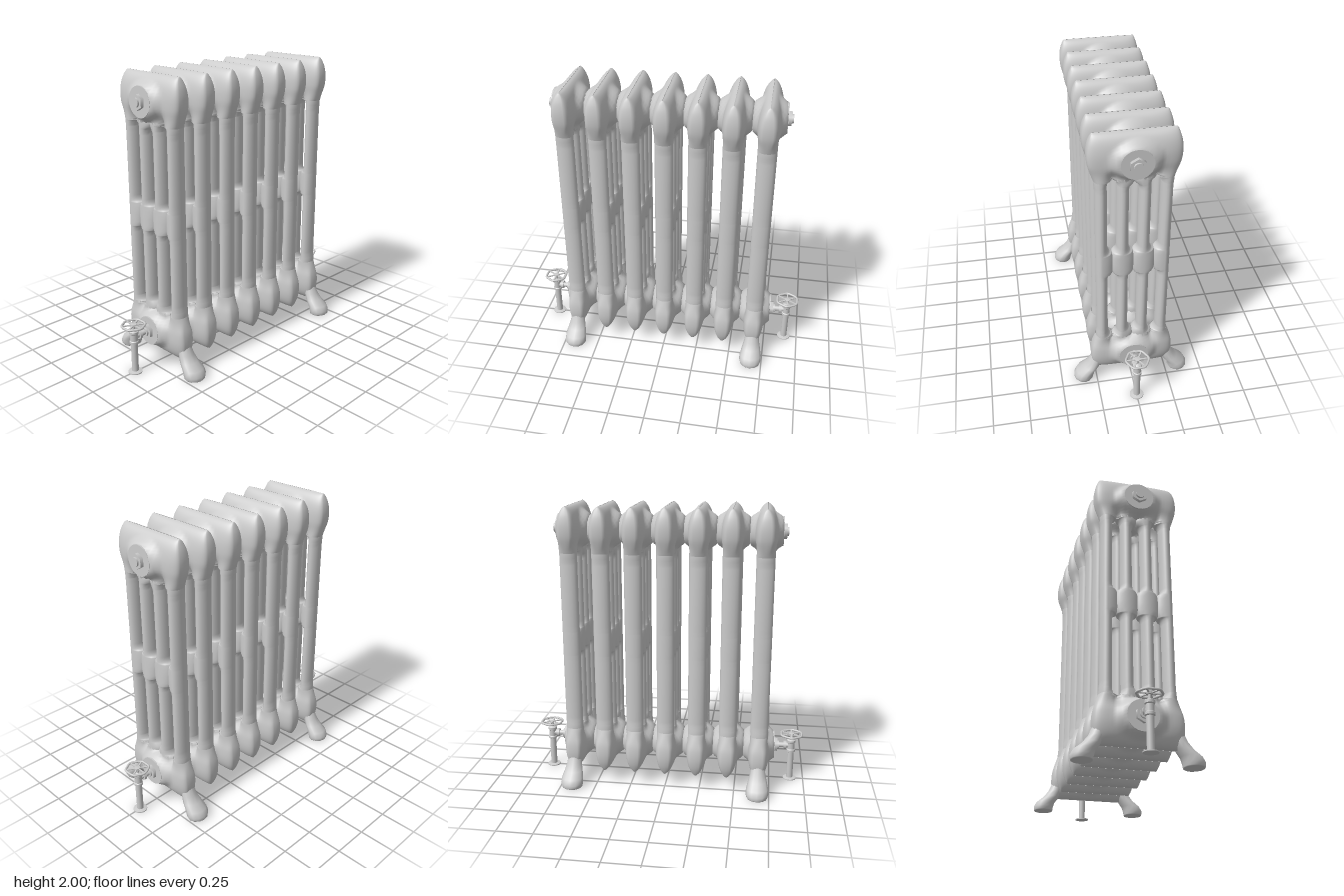
import * as THREE from 'three';

const material = new THREE.MeshStandardMaterial({ color: 0xcccccc, side: THREE.DoubleSide });
const MID = 1.0475;          // each section mirrors about this height
const HUB = 0.7825;          // hub distance from MID
const PITCH = 0.2223;
const smooth = THREE.MathUtils.smoothstep;

function add(parent, name, geometry, x = 0, y = 0, z = 0) {
  const mesh = new THREE.Mesh(geometry, material);
  mesh.name = name;
  mesh.position.set(x, y, z);
  parent.add(mesh);
  return mesh;
}

// Skin closed rings stacked upwards; point(ring, angle) gives [x, y, z]
function loft(rings, sides, point) {
  const positions = [], index = [];
  rings.forEach((ring, i) => {
    for (let j = 0; j < sides; j++) {
      positions.push(...point(ring, (j / sides) * Math.PI * 2));
      if (i === rings.length - 1) continue;
      const a = i * sides + j, b = i * sides + (j + 1) % sides;
      index.push(a, a + sides, b, b, a + sides, b + sides);
    }
  });
  const g = new THREE.BufferGeometry();
  g.setAttribute('position', new THREE.Float32BufferAttribute(positions, 3));
  g.setIndex(index);
  g.computeVertexNormals();
  return g;
}

// Header: a rounded slab with a hub swelling, scalloped into four columns at its inner edge
function headerGeometry(up) {
  const profile = new THREE.CatmullRomCurve3([
    [1.685, 0.248, 0.064], [1.74, 0.266, 0.071], [1.8, 0.281, 0.076], [1.87, 0.285, 0.075],
    [1.93, 0.277, 0.063], [1.97, 0.264, 0.044], [1.992, 0.254, 0.022], [2.0, 0.248, 0.001],
  ].map(([y, w, d]) => new THREE.Vector3(w, y, d)));
  const rings = profile.getPoints(24);
  if (!up) rings.reverse();
  return loft(rings, 56, ({ x: w, y, z: d }, a) => {
    const x = w * Math.cos(a), ax = Math.abs(x);
    const slab = d * Math.pow(Math.max(0, 1 - (ax / w) ** 4), 0.25);
    const c = ax < 0.135 ? 0.068 : 0.202;
    const reach = ax > 0.202 ? w - 0.202 : 0.068;
    const scallop = 0.062 * Math.sqrt(Math.max(0, 1 - ((ax - c) / reach) ** 2));
    const base = THREE.MathUtils.lerp(scallop, slab, smooth(y, 1.685, 1.8));
    const r = Math.hypot(x / 0.21, (y - MID - HUB) / 0.17);
    const hub = 0.111 * (1 - smooth(r, 0.5, 1));
    const z = Math.pow(base ** 6 + hub ** 6, 1 / 6);
    return [x, up ? y : 2 * MID - y, Math.sign(Math.sin(a)) * (Math.abs(Math.sin(a)) < 1e-6 ? 0 : z)];
  });
}

// Half width of the round-ended slot beside a column, negative where columns fuse
function slotHalf(dy, end) {
  const e = Math.min(dy - 0.085, end - dy);
  if (e <= 0) return -0.015 * Math.min(1, -e / 0.03);
  return 0.029 * Math.sqrt(1 - (1 - Math.min(e / 0.045, 1)) ** 2);
}

// Column: oval tube that spreads sideways at the bridge and at both headers
function columnGeometry(outer) {
  const half = [0, 0.05, 0.08, 0.085, 0.088, 0.095, 0.108, 0.13, 0.3, 0.555, 0.575, 0.59,
    0.597, 0.6, 0.615, 0.63, 0.637, 0.64, 0.655];
  const ys = [...half.slice(1).reverse().map(v => -v), ...half];
  return loft(ys, 16, (dy, a) => {
    const d = Math.abs(dy), c = Math.cos(a);
    const outward = outer ? 0.038 + 0.006 * smooth(d, 0.55, 0.64) : 0.067 - slotHalf(d, 0.64);
    const inward = 0.067 - slotHalf(d, outer ? 0.64 : 0.602);
    return [c * (c > 0 ? outward : inward), MID + dy, 0.062 * Math.sin(a)];
  });
}

// Foot: splayed, faceted stub leg swelling to a flat pad
function footGeometry() {
  const rings = [
    [0.34, 0, 0.001, 0.001], [0.34, 0, 0.064, 0.07], [0.341, 0.006, 0.068, 0.074],
    [0.34, 0.03, 0.07, 0.08], [0.325, 0.065, 0.066, 0.078], [0.285, 0.105, 0.056, 0.066],
    [0.258, 0.15, 0.048, 0.054], [0.235, 0.21, 0.044, 0.046], [0.215, 0.28, 0.03, 0.03],
  ];
  return loft(rings, 12, ([cx, y, rx, rz], a) => [cx + rx * Math.cos(a), y, rz * Math.sin(a)]);
}

function rod(radius, length, sides = 20) {
  return new THREE.CylinderGeometry(radius, radius, length, sides);
}

// Plugs on an end section, and the supply valve in front of it (facing +z)
function createEnd() {
  const end = new THREE.Group();
  const alongZ = (name, r, length, sides, y, z) =>
    (add(end, name, rod(r, length, sides), 0, y, z).rotation.x = Math.PI / 2);
  for (const y of [MID + HUB, MID - HUB]) {
    alongZ('hubDisc', 0.1, 0.02, 32, y, 0.77);
    alongZ('hexPlug', 0.052, 0.025, 6, y, 0.79);
    alongZ('plugCap', 0.03, 0.015, 20, y, 0.807);
  }
  const valve = new THREE.Group();
  valve.name = 'valve';
  valve.position.z = 0.902;
  end.add(valve);
  const pipeY = MID - HUB;
  add(valve, 'inletPipe', rod(0.018, 0.12), 0, pipeY, -0.06).rotation.x = Math.PI / 2;
  add(valve, 'inletCollar', rod(0.03, 0.02), 0, pipeY, -0.045).rotation.x = Math.PI / 2;
  const body = [[0, 0], [0.048, 0], [0.048, 0.007], [0.023, 0.012], [0.023, 0.215], [0.031, 0.22],
    [0.031, 0.235], [0.026, 0.24], [0.026, 0.285], [0.031, 0.29], [0.031, 0.308], [0.02, 0.315],
    [0.009, 0.32], [0.009, 0.345], [0.02, 0.346], [0.02, 0.36], [0, 0.362]];
  // doubled profile points keep the turned edges crisp
  add(valve, 'valveBody', new THREE.LatheGeometry(
    body.flatMap(([r, y]) => [new THREE.Vector2(r, y), new THREE.Vector2(r, y)]), 20));
  // hand wheel with a gently lobed rim
  const rimPath = new THREE.CatmullRomCurve3(Array.from({ length: 24 }, (_, i) => {
    const a = (i / 24) * Math.PI * 2, r = 0.076 + 0.003 * Math.cos(6 * a);
    return new THREE.Vector3(r * Math.cos(a), 0.353, r * Math.sin(a));
  }), true);
  add(valve, 'handWheelRim', new THREE.TubeGeometry(rimPath, 48, 0.008, 8, true));
  for (let i = 0; i < 6; i++) {
    const a = (i / 6) * Math.PI * 2;
    const spoke = add(valve, 'handWheelSpoke', new THREE.BoxGeometry(0.062, 0.007, 0.01),
      0.045 * Math.cos(a), 0.353, 0.045 * Math.sin(a));
    spoke.rotation.y = -a;
  }
  return end;
}

export function createModel() {
  const model = new THREE.Group();
  model.name = 'columnRadiator';
  const top = headerGeometry(true), bottom = headerGeometry(false);
  const outer = columnGeometry(true), inner = columnGeometry(false), foot = footGeometry();

  for (let i = -3; i <= 3; i++) {
    const section = new THREE.Group();
    section.name = 'section';
    section.position.z = i * PITCH;
    model.add(section);
    add(section, 'topHeader', top);
    add(section, 'bottomHeader', bottom);
    for (const turn of [0, Math.PI]) {
      const side = new THREE.Group();
      side.name = 'sectionSide';
      side.rotation.y = turn;
      section.add(side);
      add(side, 'outerColumn', outer, 0.202);
      add(side, 'innerColumn', inner, 0.068);
      if (Math.abs(i) === 3) add(side, 'foot', foot);
    }
    // nipples joining neighbouring hubs
    if (i < 3) for (const s of [1, -1]) {
      add(section, 'nipple', rod(0.085, 0.04, 24), 0, MID + s * HUB, PITCH / 2).rotation.x = Math.PI / 2;
    }
  }

  for (const [name, turn] of [['frontEnd', 0], ['backEnd', Math.PI]]) {
    const end = createEnd();
    end.name = name;
    end.rotation.y = turn;
    model.add(end);
  }
  return model;
}
